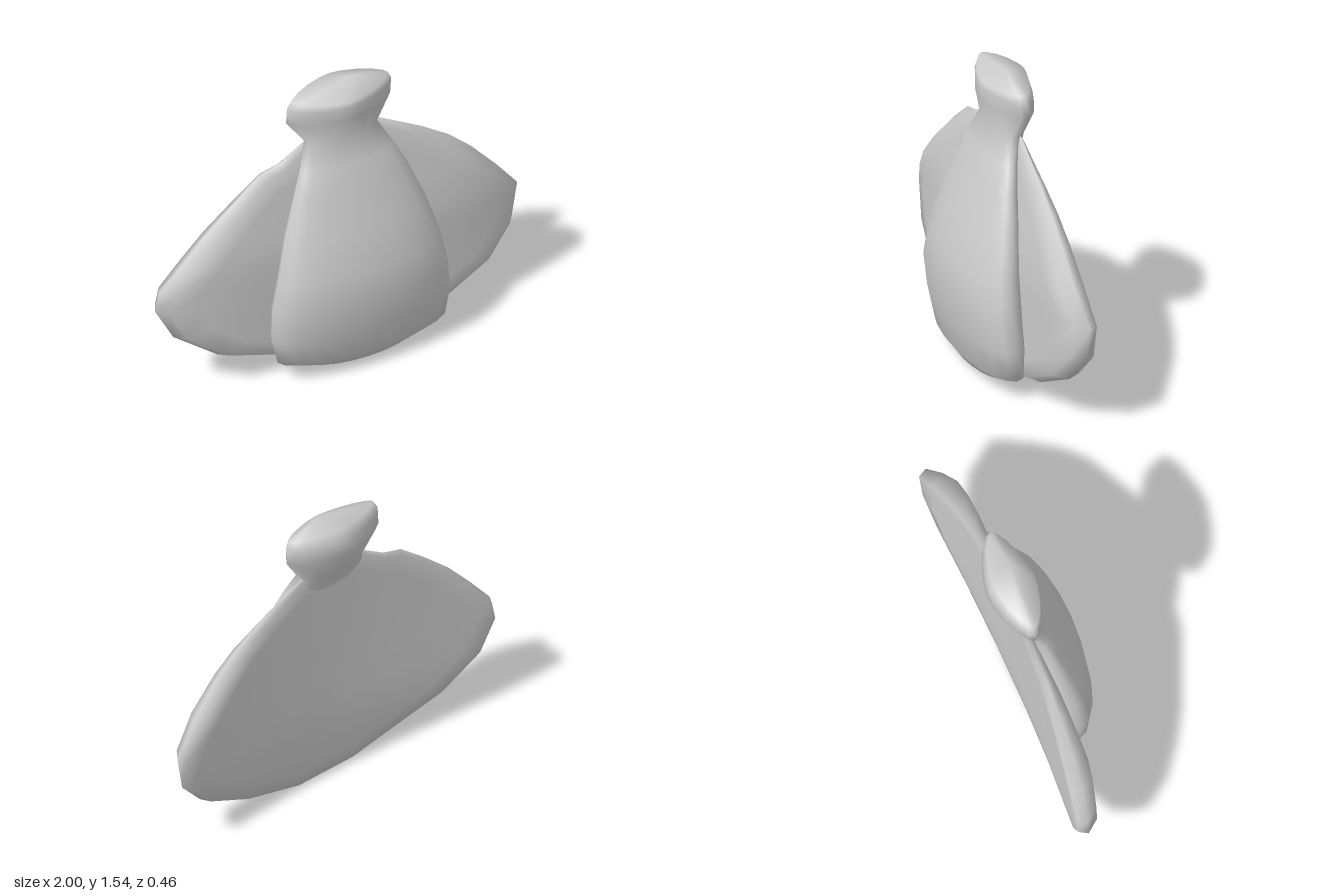
import * as THREE from 'three';

const material = new THREE.MeshStandardMaterial({ color: 0xcccccc });

// Skin closed rings of equal length, with an end point before the first and after the last
function skin(name, start, rings, end) {
  const n = rings[0].length;
  const positions = [start, ...rings.flat(), end].flat();
  const last = rings.length * n + 1;
  const index = [];
  for (let j = 0; j < n; j++) {
    const k = (j + 1) % n;
    index.push(0, 1 + j, 1 + k);
    for (let i = 0; i < rings.length - 1; i++) {
      const a = 1 + i * n, b = a + n;
      index.push(a + j, b + j, b + k, a + j, b + k, a + k);
    }
    index.push(last - n + j, last, last - n + k);
  }
  const geometry = new THREE.BufferGeometry();
  geometry.setAttribute('position', new THREE.Float32BufferAttribute(positions, 3));
  geometry.setIndex(index);
  geometry.computeVertexNormals();
  const mesh = new THREE.Mesh(geometry, material);
  mesh.name = name;
  return mesh;
}

// Horizontal section: power 2 is an ellipse, lower powers give a pointed lens;
// the back is raised by the tilt
function section([y, left, right, front, back, power = 2, tilt = 0], sides = 20) {
  const cx = (left + right) / 2, cz = (front + back) / 2;
  const bend = (v) => Math.sign(v) * Math.abs(v) ** (2 / power);
  return Array.from({ length: sides }, (_, i) => {
    const a = (i / sides) * Math.PI * 2;
    const dz = bend(Math.sin(a)) * (front - back) / 2;
    return [cx + bend(Math.cos(a)) * (right - left) / 2, y - tilt * dz, cz + dz];
  });
}

// Body bulging forward, pinched at the neck and flaring into the head
function makeBody() {
  const rows = [
    // y, left, right, front, back, power, tilt
    [0.005, -0.14, 0.2, 0.08, -0.04],
    [0.03, -0.24, 0.32, 0.125, -0.08],
    [0.1, -0.42, 0.5, 0.175, -0.09],
    [0.25, -0.46, 0.52, 0.205, -0.1],
    [0.42, -0.46, 0.5, 0.23, -0.1],
    [0.6, -0.42, 0.46, 0.215, -0.1],
    [0.8, -0.37, 0.4, 0.15, -0.1],
    [1.0, -0.3, 0.32, 0.08, -0.1],
    [1.12, -0.25, 0.26, 0.035, -0.115],
    [1.24, -0.195, 0.195, -0.01, -0.17],
    [1.37, -0.29, 0.285, 0.02, -0.23, 1.5],
    [1.44, -0.29, 0.285, 0.018, -0.22, 1.5],
    [1.485, -0.265, 0.265, 0.01, -0.2, 1.5, 0.2],
  ];
  return skin('bodyAndHead', [0.03, 0, 0.02], rows.map((r) => section(r)), [0.07, 1.54, -0.085]);
}

// Broad fan behind the body, slightly dished with the tips swept back
function makeFan() {
  const outline = [
    [0.2, 0.005], [0.55, 0.1], [0.82, 0.23], [0.96, 0.38], [0.995, 0.56], [0.87, 0.72],
    [0.72, 0.89], [0.6, 1.0], [0.45, 1.1], [0.2, 1.24], [-0.2, 1.23], [-0.33, 1.15],
    [-0.44, 1.12], [-0.59, 1.0], [-0.74, 0.87], [-0.87, 0.73], [-0.98, 0.6], [-1, 0.5],
    [-0.91, 0.33], [-0.69, 0.175], [-0.45, 0.1], [-0.15, 0.015],
  ];
  const front = (x, y) =>
    -0.4 * Math.max(0, Math.abs(x) - 0.55) ** 2 - 0.17 * Math.max(0, y - 0.7);
  const back = (x, y) => -0.115 - 0.06 * x * x + 0.1 * Math.max(0, 0.3 - y);
  const rim = (x, y) => (front(x, y) + back(x, y)) / 2;
  const cy = 0.58;
  const ring = (scale, depth) => outline.map(([px, py]) => {
    const x = px * scale, y = cy + (py - cy) * scale;
    return [x, y, depth(x, y)];
  });
  const rings = [
    ...[0.3, 0.6, 0.82, 0.95].map((s) => ring(s, front)),
    ring(1, rim),
    ...[0.975, 0.85, 0.6, 0.3].map((s) => ring(s, back)),
  ];
  return skin('fan', [0, cy, front(0, cy)], rings, [0, cy, back(0, cy)]);
}

export function createModel() {
  const group = new THREE.Group();
  group.name = 'fanFigure';
  group.add(makeFan(), makeBody());
  return group;
}
